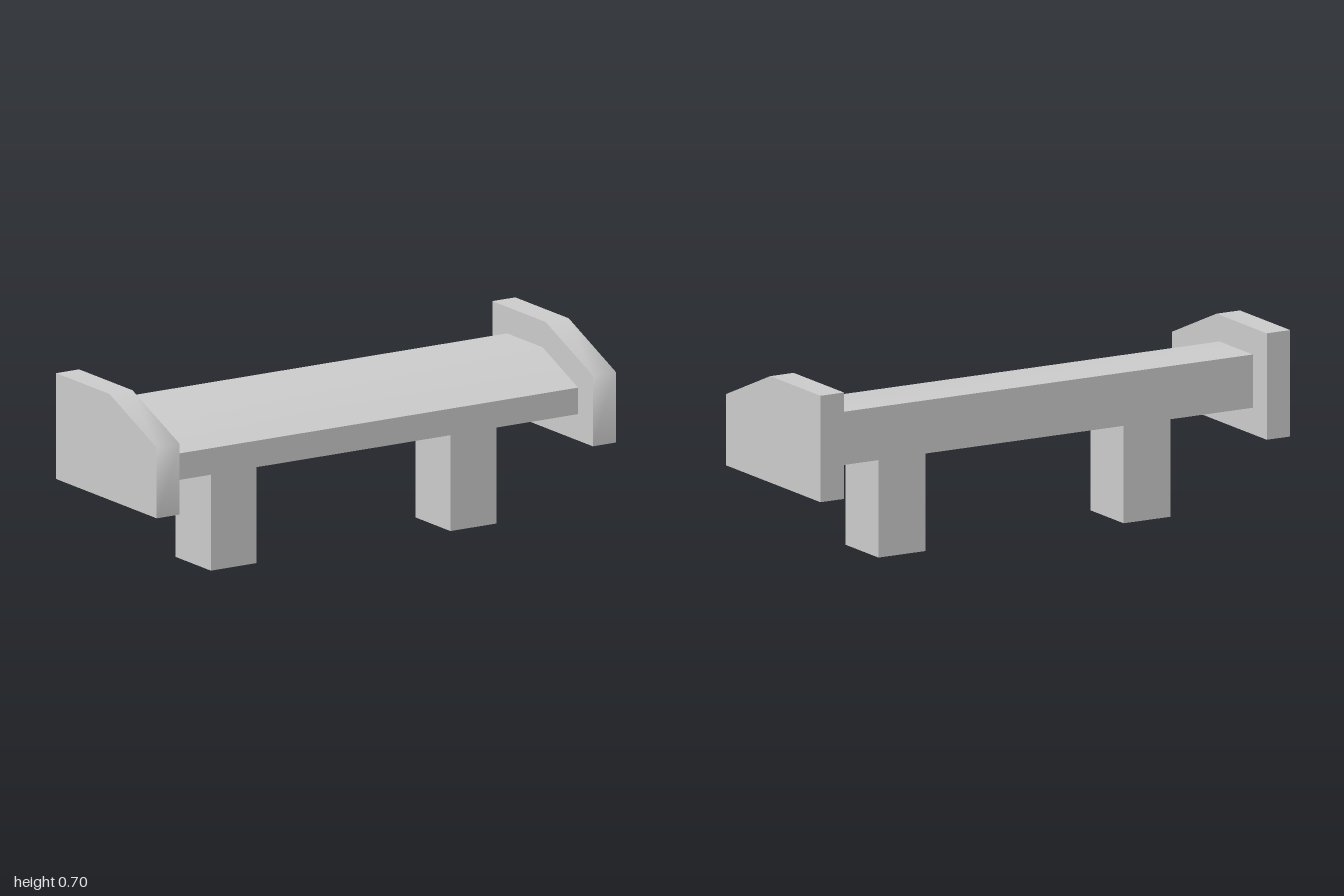
import * as THREE from 'three';
import { toCreasedNormals } from 'three/addons/utils/BufferGeometryUtils.js';

const material = new THREE.MeshStandardMaterial({ color: 0xcccccc });

// Side profile given as [z, y] corners, extruded along x and centred on x = 0
function profileAlongX(points, width, crease) {
  const shape = new THREE.Shape(points.map(([z, y]) => new THREE.Vector2(z, y)));
  const geometry = new THREE.ExtrudeGeometry(shape, { depth: width, bevelEnabled: false });
  geometry.translate(0, 0, -width / 2).rotateY(-Math.PI / 2);
  return toCreasedNormals(geometry, crease);
}

export function createModel() {
  const group = new THREE.Group();
  const add = (name, geometry, x = 0, y = 0) => {
    const mesh = new THREE.Mesh(geometry, material);
    mesh.name = name;
    mesh.position.set(x, y, 0);
    group.add(mesh);
  };

  // Wing blade: the slope blends smoothly into the flat top
  add('wing', profileAlongX(
    [[0.238, 0.4], [0.238, 0.5], [0, 0.6], [-0.238, 0.6], [-0.238, 0.4]], 1.8, 0.6));

  // End plates: front, slope and top blend smoothly
  const plate = profileAlongX(
    [[0.337, 0.3], [0.337, 0.567], [0.021, 0.7], [-0.337, 0.7], [-0.337, 0.3]], 0.1, 1.25);

  // Square support posts
  const post = new THREE.BoxGeometry(0.2, 0.4, 0.236);

  for (const [side, s] of [['left', 1], ['right', -1]]) {
    add(side + 'EndPlate', plate, s * 0.95);
    add(side + 'Post', post, s * 0.522, 0.2);
  }
  return group;
}
